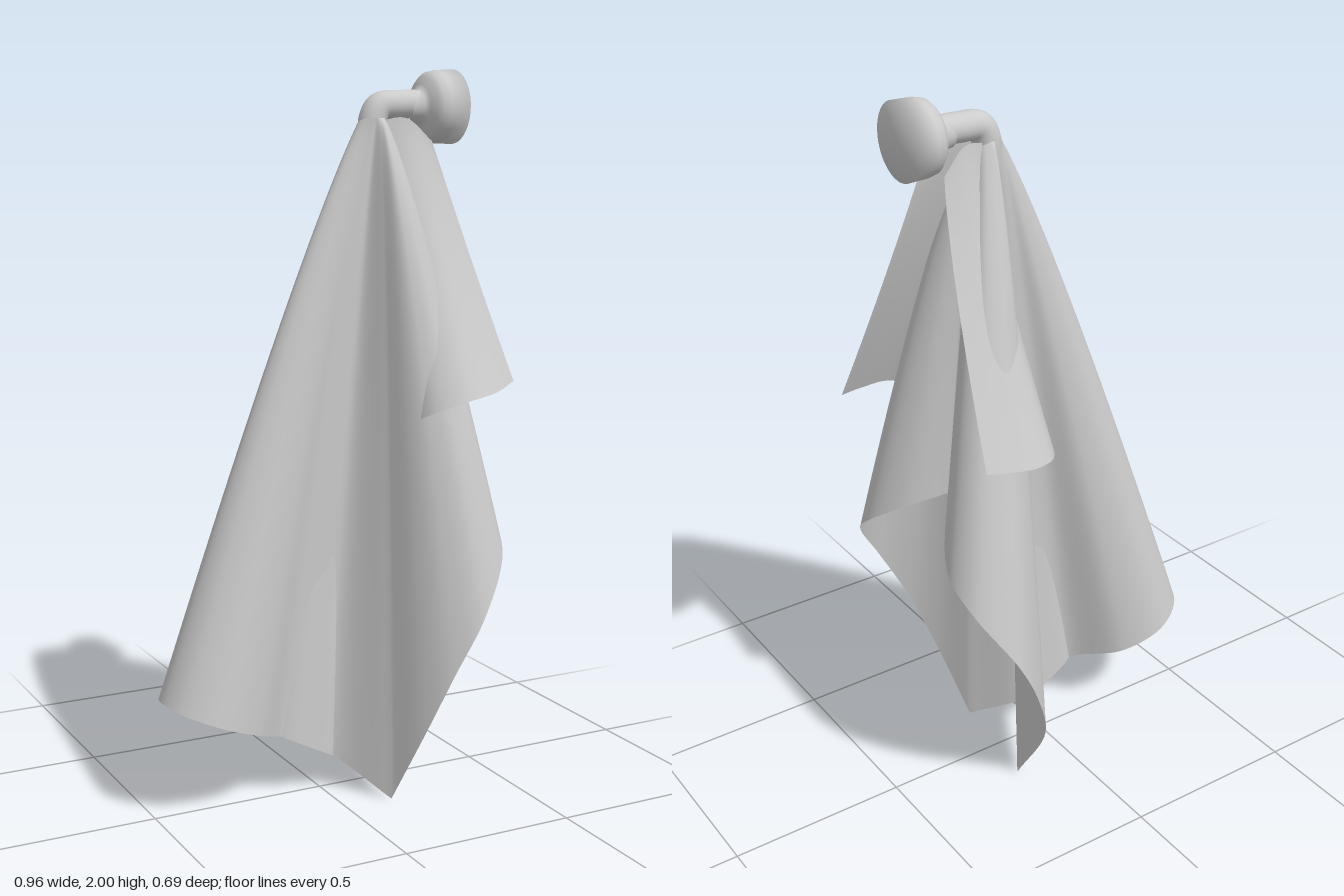
import * as THREE from 'three';

const { lerp, smoothstep } = THREE.MathUtils;
const material = new THREE.MeshStandardMaterial({ color: 0xcccccc, side: THREE.DoubleSide });

function curveOf(points) {
  return new THREE.CatmullRomCurve3(points.map((p) => new THREE.Vector3(...p)), false, 'centripetal');
}

// Cloth hanging from a top line to a hem; spreadAt gives the bulge (< 1) or flare (> 1) in x and z
function drape(name, topAt, hemAt, spreadAt, closed, nu, nv) {
  const positions = [];
  const index = [];
  const columns = closed ? nu : nu + 1;
  for (let i = 0; i < columns; i++) {
    const top = topAt(i / nu);
    const hem = hemAt(i / nu);
    const [spreadX, spreadZ] = spreadAt(i / nu);
    for (let j = 0; j <= nv; j++) {
      const fall = Math.pow(j / nv, 1.4);
      positions.push(
        lerp(top.x, hem.x, Math.pow(fall, spreadX)),
        lerp(top.y, hem.y, fall),
        lerp(top.z, hem.z, Math.pow(fall, spreadZ))
      );
    }
  }
  for (let i = 0; i < nu; i++) {
    for (let j = 0; j < nv; j++) {
      const a = i * (nv + 1) + j;
      const c = ((i + 1) % columns) * (nv + 1) + j;
      index.push(a, a + 1, c, c, a + 1, c + 1);
    }
  }
  const geometry = new THREE.BufferGeometry();
  geometry.setAttribute('position', new THREE.Float32BufferAttribute(positions, 3));
  geometry.setIndex(index);
  geometry.computeVertexNormals();
  const mesh = new THREE.Mesh(geometry, material);
  mesh.name = name;
  return mesh;
}

export function createModel() {
  const group = new THREE.Group();
  group.name = 'towelOnHook';

  // Hem of the left half: from the big lobe past the neck to the low corner, then up to the peak
  const leftHem = [
    [-0.48, 0.33, 0.01], [-0.45, 0.315, 0.09], [-0.36, 0.28, 0.14], [-0.24, 0.23, 0.11],
    [-0.13, 0.18, 0.03], [-0.05, 0.14, 0.018], [0.025, 0.1, 0.028], [0.14, 0, 0.17],
    [0.19, 0.21, 0.265], [0.25, 0.39, 0.322], [0.33, 0.55, 0.342], [0.42, 0.7, 0.28],
    [0.44, 0.78, 0.19], [0.39, 0.85, 0.09], [0.28, 0.91, 0],
  ];
  // Right half mirrors it, with a slightly tighter lobe and the necks crossing
  const rightHem = leftHem.map(([x, y, z], i) => {
    if (i < 4) return [x, y, 0.02 - z];
    if (i < 7) return [x, y, 0.06 - z];
    if (i === 7) return [0.175, y, -0.14];
    return i === 14 ? [x, y, z] : [x - 0.025, y, -z];
  });
  // Three smooth stretches that meet at the sharp corners and the peak
  const frontHem = curveOf([...rightHem.slice(1, 8).reverse(), ...leftHem.slice(0, 8)]);
  const leftBack = curveOf(leftHem.slice(7));
  const rightBack = curveOf(rightHem.slice(7).reverse());
  const hemAt = (u) => {
    if (u < 0.5) return frontHem.getPoint(u * 2);
    return u < 0.75 ? leftBack.getPoint(u * 4 - 2) : rightBack.getPoint(u * 4 - 3);
  };
  const angleAt = (u) => Math.PI * (1.5 - 2 * u);
  const ringAt = (u) => new THREE.Vector3(
    0.15 + 0.03 * Math.cos(angleAt(u)), 1.87, 0.015 + 0.04 * Math.sin(angleAt(u)));
  // The big lobe flares towards its hem, the side lobes bulge near the top
  const spreadAt = (u) => {
    const toBack = Math.cos(angleAt(u));
    return [0.87, 0.64 + 0.12 * smoothstep(toBack, 0.2, 0.7) + 0.62 * smoothstep(-toBack, 0.15, 0.85)];
  };
  group.add(drape('mainCloth', ringAt, hemAt, spreadAt, true, 240, 48));

  // Two short upper flaps, one on each side
  const flap = (name, topPoints, hemPoints) => {
    const top = curveOf(topPoints);
    const edge = curveOf(hemPoints);
    group.add(drape(name, (u) => top.getPoint(u), (u) => edge.getPoint(u), () => [0.9, 1.28], false, 48, 24));
  };
  flap('leftFlap',
    [[0.16, 1.86, 0.02], [0.24, 1.87, 0.04], [0.315, 1.81, 0.05]],
    [[0.18, 1.07, 0.09], [0.185, 1.07, 0.18], [0.22, 1.1, 0.25], [0.3, 1.13, 0.285],
      [0.4, 1.145, 0.265], [0.483, 1.165, 0.22]]);
  flap('rightFlap',
    [[0.305, 1.81, -0.04], [0.24, 1.87, -0.03], [0.16, 1.86, -0.01]],
    [[0.34, 1.1, -0.26], [0.27, 1.09, -0.272], [0.2, 1.08, -0.275], [0.13, 1.075, -0.25],
      [0.095, 1.075, -0.19], [0.115, 1.075, -0.145], [0.17, 1.075, -0.09]]);

  // Bent neck from the knob down into the cloth
  const neckPath = curveOf([[0.31, 1.907, 0.01], [0.23, 1.906, 0.01], [0.175, 1.9, 0.01],
    [0.155, 1.87, 0.01], [0.15, 1.8, 0.01]]);
  const neck = new THREE.Mesh(new THREE.TubeGeometry(neckPath, 32, 0.038, 20), material);
  neck.name = 'hookNeck';
  group.add(neck);

  // Round knob with a flat end, turned about the x axis
  const profile = [[0.038, 0.26], [0.044, 0.292], [0.06, 0.3], [0.08, 0.31], [0.093, 0.323],
    [0.098, 0.345], [0.1, 0.4], [0, 0.4]];
  const knob = new THREE.Mesh(
    new THREE.LatheGeometry(profile.map(([r, h]) => new THREE.Vector2(r, h)), 48), material);
  knob.name = 'knob';
  knob.rotation.z = -Math.PI / 2;
  knob.position.set(0, 1.9, 0.01);
  group.add(knob);

  return group;
}
